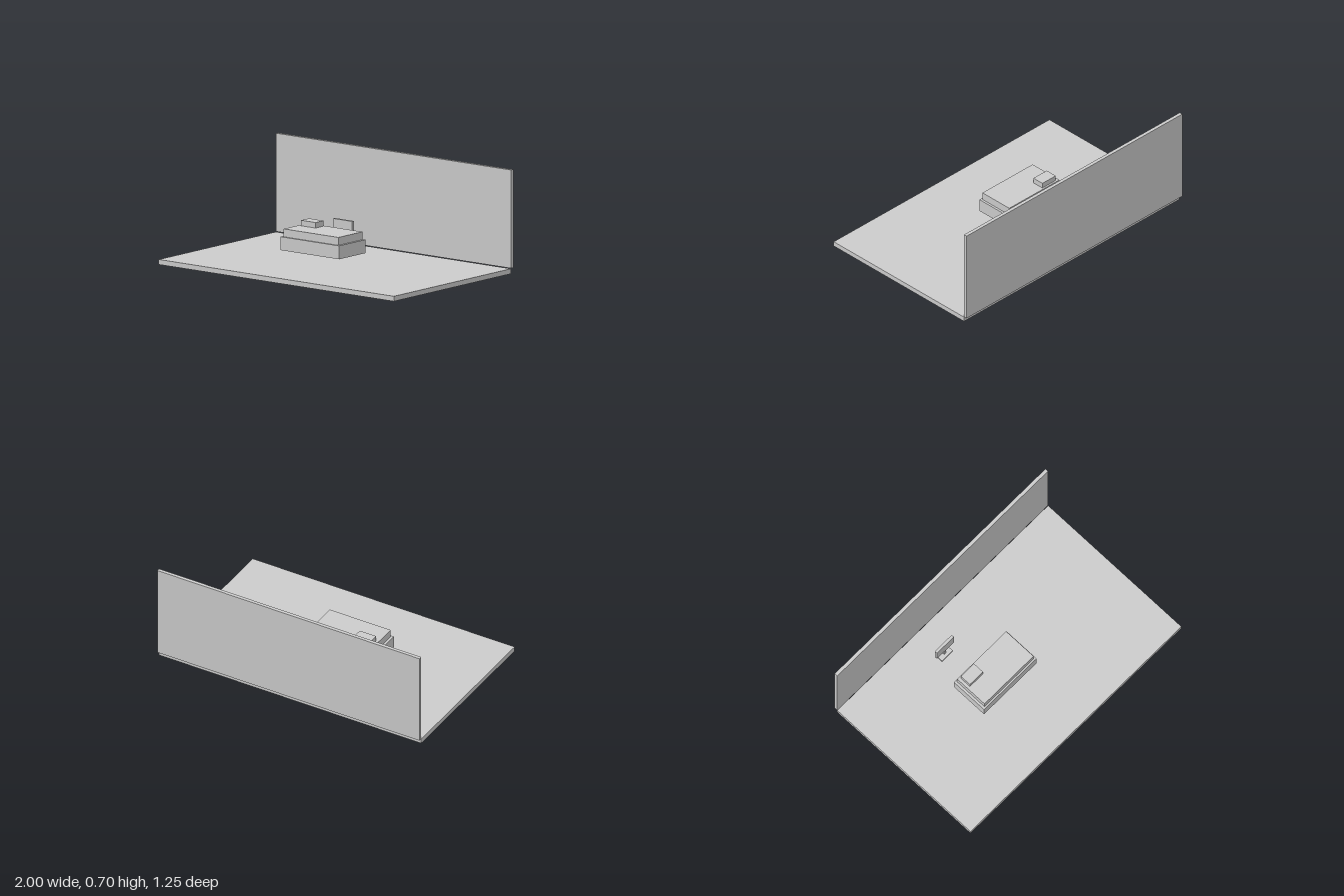
import * as THREE from 'three';

const material = new THREE.MeshStandardMaterial({ color: 0xcccccc, flatShading: true });

// Box given by its extents along each axis
function block(name, [x0, x1], [y0, y1], [z0, z1]) {
  const mesh = new THREE.Mesh(new THREE.BoxGeometry(x1 - x0, y1 - y0, z1 - z0), material);
  mesh.name = name;
  mesh.position.set((x0 + x1) / 2, (y0 + y1) / 2, (z0 + z1) / 2);
  return mesh;
}

function assembly(name, ...parts) {
  const group = new THREE.Group();
  group.name = name;
  group.add(...parts);
  return group;
}

export function createModel() {
  // Room: floor slab and back wall
  const room = assembly('room',
    block('floor', [-1, 1], [0, 0.034], [-0.599, 0.623]),
    block('backWall', [-1, 1], [0.037, 0.697], [-0.623, -0.599]));

  // Bed: base, mattress and one pillow, raised above the floor
  const bed = assembly('bed',
    block('bedBase', [-0.364, 0.134], [0.101, 0.191], [-0.143, 0.132]),
    block('mattress', [-0.347, 0.118], [0.191, 0.244], [-0.131, 0.12]),
    block('pillow', [-0.326, -0.202], [0.244, 0.281], [-0.118, -0.034]));

  // Screen on a stand behind the bed
  const monitor = assembly('monitor',
    block('screen', [-0.311, -0.15], [0.141, 0.247], [-0.371, -0.351]),
    block('post', [-0.239, -0.221], [0.075, 0.141], [-0.368, -0.354]),
    block('standBase', [-0.281, -0.179], [0.063, 0.075], [-0.39, -0.333]));

  return assembly('bedroomScene', room, bed, monitor);
}
